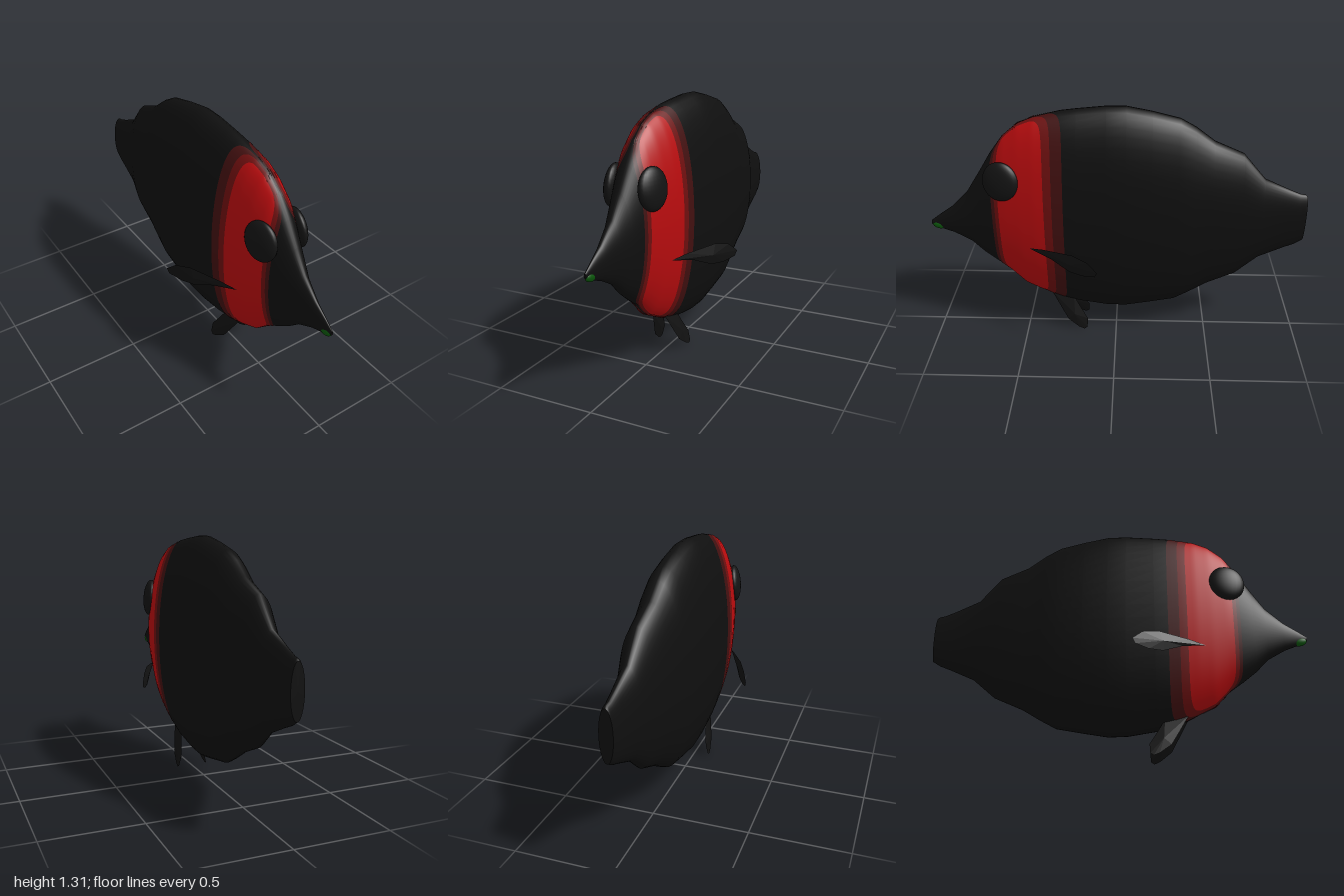
import * as THREE from 'three';

const mat = (name, color, side = THREE.FrontSide) => {
  const m = new THREE.MeshStandardMaterial({ color, side });
  m.name = name;
  return m;
};

// Body stations from snout to tail: z, top y, bottom y, half width
const STATIONS = [
  [1.0, 0.652, 0.63, 0.006], [0.95, 0.69, 0.605, 0.014], [0.88, 0.74, 0.58, 0.026],
  [0.79, 0.83, 0.53, 0.045], [0.72, 0.94, 0.46, 0.068], [0.65, 1.055, 0.405, 0.09],
  [0.58, 1.15, 0.355, 0.109], [0.5, 1.215, 0.275, 0.127], [0.42, 1.25, 0.235, 0.142],
  [0.35, 1.268, 0.2, 0.15], [0.28, 1.285, 0.172, 0.155], [0.2, 1.295, 0.15, 0.16],
  [0.05, 1.31, 0.127, 0.164], [-0.05, 1.31, 0.125, 0.165], [-0.18, 1.285, 0.148, 0.16],
  [-0.32, 1.25, 0.175, 0.15], [-0.4, 1.205, 0.22, 0.137], [-0.5, 1.13, 0.282, 0.12],
  [-0.65, 1.065, 0.35, 0.1], [-0.77, 0.925, 0.455, 0.063], [-0.9, 0.865, 0.515, 0.046],
  [-0.96, 0.84, 0.54, 0.039], [-0.99, 0.835, 0.56, 0.035], [-1.0, 0.825, 0.565, 0.034],
];

// Point on the body skin, pushed outward by lift; angle 0 is the crest
function skin(angle, z, lift = 0) {
  let i = 0;
  while (i < STATIONS.length - 2 && z < STATIONS[i + 1][0]) i++;
  const a = STATIONS[i], b = STATIONS[i + 1];
  const t = (a[0] - z) / (a[0] - b[0]);
  const [top, low, w] = [1, 2, 3].map(k => a[k] + (b[k] - a[k]) * t);
  return [(w + lift) * Math.sin(angle), (top + low) / 2 + ((top - low) / 2 + lift) * Math.cos(angle), z];
}

// Surface over rows and columns; wrap joins the last column to the first
function grid(rows, cols, point, wrap = false) {
  const pos = [], idx = [], n = wrap ? cols : cols + 1;
  for (let r = 0; r <= rows; r++) for (let c = 0; c < n; c++) pos.push(...point(r, c));
  for (let r = 0; r < rows; r++) for (let c = 0; c < cols; c++) {
    const d = (c + 1) % n;
    const p = r * n + c, q = r * n + d, s = p + n, t = (r + 1) * n + d;
    idx.push(p, q, s, q, t, s);
  }
  const g = new THREE.BufferGeometry();
  g.setAttribute('position', new THREE.Float32BufferAttribute(pos, 3));
  g.setIndex(idx);
  g.computeVertexNormals();
  return g;
}

// Thin lens-shaped fin from an outline, swollen in the middle along a direction
function fin(outline, swell) {
  const pts = outline.map(p => new THREE.Vector3(...p));
  const mid = pts.reduce((s, p) => s.add(p), new THREE.Vector3()).divideScalar(pts.length);
  const dir = new THREE.Vector3(...swell);
  const a = mid.clone().add(dir), b = mid.clone().sub(dir), tris = [];
  pts.forEach((p, i) => {
    const q = pts[(i + 1) % pts.length];
    tris.push(a, p, q, b, q, p);
  });
  const g = new THREE.BufferGeometry().setFromPoints(tris);
  g.computeVertexNormals();
  return g;
}

export function createModel() {
  const model = new THREE.Group();
  const black = mat('black skin', 0x0f0f0f);
  const finBlack = mat('black fin', 0x111111, THREE.DoubleSide);
  const eyeBlack = mat('eye black', 0x131313);
  const green = mat('green lip', 0x0a550a);
  const add = (name, geometry, material) => {
    const m = new THREE.Mesh(geometry, material);
    m.name = name;
    model.add(m);
    return m;
  };

  // Body
  const COLS = 48;
  const around = c => (c / COLS) * Math.PI * 2;
  add('body', grid(STATIONS.length - 1, COLS, (r, c) => skin(around(c), STATIONS[r][0]), true), black);

  // Flat ends of the tail and snout
  for (const [name, z, flip] of [['tailEnd', -1, false], ['snoutTip', 1, true]]) {
    const centre = skin(0, z)[1] / 2 + skin(Math.PI, z)[1] / 2;
    add(name, grid(1, COLS, (r, c) => (r === 1) === flip ? skin(around(c), z) : [0, centre, z], true), black);
  }

  // Nested red bands on both cheeks: front z, back z, angle margin, lift
  const bands = [
    ['outerBand', 0.65, 0.27, 0.025, 0.002, mat('dark red', 0x421010)],
    ['middleBand', 0.632, 0.328, 0.1, 0.004, mat('mid red', 0x6e0f0f)],
    ['innerBand', 0.612, 0.37, 0.22, 0.006, mat('bright red', 0xb80c0e)],
  ];
  for (const side of [0, 1]) for (const [name, front, back, margin, lift, material] of bands) {
    const half = Math.PI / 2 - margin;
    add(name, grid(16, 64, (r, c) => {
      const s = Math.sin((c / 64 - 0.5) * Math.PI);
      const w = Math.pow(Math.max(0, 1 - Math.abs(s) ** 6), 1 / 4);
      const z = (front + back) / 2 + (front - back) / 2 * w * (1 - r / 8);
      return skin(Math.PI / 2 + side * Math.PI + s * half, z, lift);
    }), material);
  }

  // Lower lip
  const lip = add('lowerLip', new THREE.SphereGeometry(1, 16, 10), green);
  lip.scale.set(0.015, 0.022, 0.036);
  lip.position.set(0, 0.625, 0.962);
  lip.rotation.x = -0.25;

  for (const s of [1, -1]) {
    // Eye
    const eye = add(s > 0 ? 'leftEye' : 'rightEye', new THREE.SphereGeometry(1, 24, 16), eyeBlack);
    eye.scale.set(0.036, 0.104, 0.096);
    eye.position.set(s * 0.103, 0.937, 0.59);
    eye.rotation.set(0, -s * 0.2, s * 0.1);

    // Pectoral fin, swept backward
    const pectoral = [[0.13, 0.562], [0.17, 0.578], [0.25, 0.594], [0.29, 0.575], [0.315, 0.53],
      [0.308, 0.503], [0.275, 0.487], [0.24, 0.49], [0.19, 0.535]];
    add(s > 0 ? 'leftPectoralFin' : 'rightPectoralFin',
      fin(pectoral.map(([x, y]) => [s * x, y, 0.46 - (x - 0.13) * 2]), [s * 0.009, 0, 0.004]), finBlack);

    // Pelvic fin, hanging down and back
    const pelvic = [[0.36, 0.22], [0.31, 0.13], [0.27, 0.06], [0.21, 0.015], [0.18, 0.003],
      [0.163, 0.015], [0.16, 0.065], [0.2, 0.13], [0.24, 0.2]];
    add(s > 0 ? 'leftPelvicFin' : 'rightPelvicFin',
      fin(pelvic.map(([z, y]) => [s * (0.048 + (0.16 - y) * 0.24), y, z]), [s * 0.009, 0, 0]), finBlack);
  }
  return model;
}
